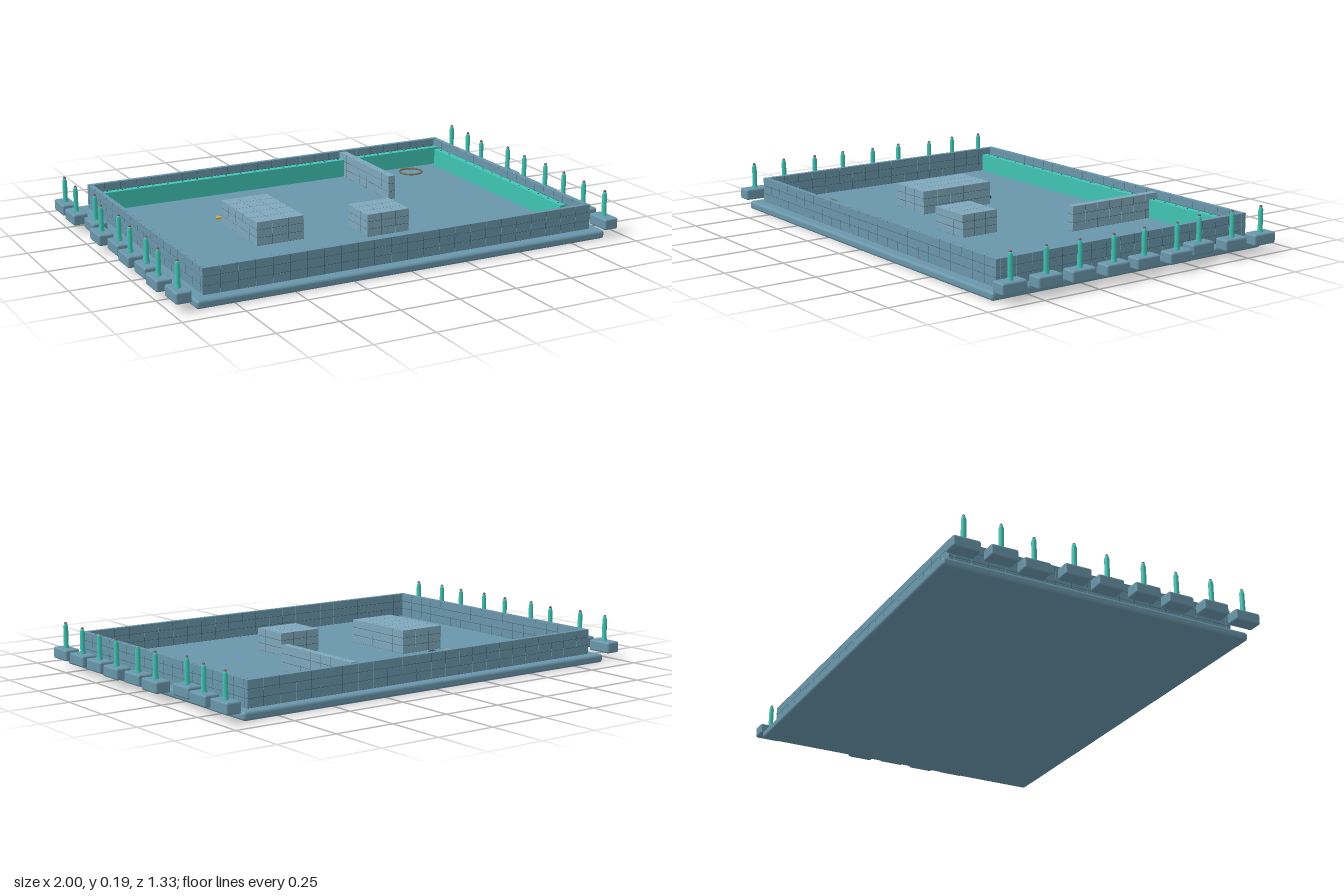
import * as THREE from 'three';
import { mergeGeometries } from 'three/addons/utils/BufferGeometryUtils.js';
import { RoundedBoxGeometry } from 'three/addons/geometries/RoundedBoxGeometry.js';

const material = (color, flatShading = false) => new THREE.MeshStandardMaterial({ color, flatShading });
const stone = material(0x6996aa);
const tile = material(0x7fa8bc);
const seam = material(0x415f70);
const teal = material(0x3fc4b4);
const red = material(0x9c4350);
const bronze = material(0x77704f);
const yellow = material(0xd8b040, true);
const purple = material(0x45435c);

const FLOOR = 0.035, WALL_TOP = 0.14;

export function createModel() {
  const root = new THREE.Group();

  function add(parent, name, geometry, mat, x = 0, y = 0, z = 0) {
    const mesh = new THREE.Mesh(geometry, mat);
    mesh.name = name;
    mesh.position.set(x, y, z);
    parent.add(mesh);
    return mesh;
  }

  // A dark core covered with a grid of separate tiles, given by its bounds
  function tiledBlock(name, x0, x1, z0, z1, top, mat, nx, ny, nz) {
    const group = new THREE.Group();
    group.name = name;
    const w = x1 - x0, h = top - FLOOR, d = z1 - z0, gap = 0.002;
    add(group, name + 'Core', new THREE.BoxGeometry(w - 0.004, h - 0.002, d - 0.004), seam,
      (x0 + x1) / 2, FLOOR + h / 2 - 0.001, (z0 + z1) / 2);
    const parts = [];
    for (let i = 0; i < nx; i++) for (let j = 0; j < ny; j++) for (let k = 0; k < nz; k++) {
      const g = new THREE.BoxGeometry(w / nx - gap, h / ny - gap, d / nz - gap);
      g.translate(x0 + w * (i + 0.5) / nx, FLOOR + h * (j + 0.5) / ny, z0 + d * (k + 0.5) / nz);
      parts.push(g);
    }
    add(group, name + 'Tiles', mergeGeometries(parts), mat);
    root.add(group);
  }

  // Ground slab with softened edges
  add(root, 'slab', new RoundedBoxGeometry(1.812, FLOOR, 1.324, 3, 0.012), stone, 0, FLOOR / 2, 0);

  // Enclosing walls
  tiledBlock('backWall', -0.862, 0.862, -0.618, -0.596, WALL_TOP, stone, 24, 3, 1);
  tiledBlock('frontWall', -0.862, 0.862, 0.593, 0.615, WALL_TOP, stone, 24, 3, 1);
  for (const [name, s] of [['leftWall', 1], ['rightWall', -1]]) {
    const a = s * 0.862, b = s * 0.84;
    tiledBlock(name, Math.min(a, b), Math.max(a, b), -0.595, 0.592, WALL_TOP, stone, 1, 3, 17);
  }

  // Free-standing tiled blocks and the divider wall
  tiledBlock('largeBlock', -0.445, -0.235, -0.155, 0.192, 0.135, tile, 3, 3, 5);
  tiledBlock('smallBlock', 0.0, 0.195, 0.12, 0.292, 0.13, tile, 3, 3, 3);
  tiledBlock('dividerWall', 0.335, 0.37, -0.585, -0.13, WALL_TOP, tile, 1, 3, 7);

  // Teal barriers with a row of studs along the top
  function barrier(name, cx, cz, length, turned) {
    const group = new THREE.Group();
    group.name = name;
    const top = 0.113, h = top - FLOOR;
    add(group, name + 'Panel', new THREE.BoxGeometry(length, h, 0.03), teal, 0, FLOOR + h / 2, 0);
    const count = Math.round(length / 0.07), studs = [];
    for (let i = 0; i < count; i++) {
      const g = new THREE.CylinderGeometry(0.003, 0.003, 0.003, 8);
      studs.push(g.translate(length * ((i + 0.5) / count - 0.5), top + 0.001, 0));
    }
    add(group, name + 'Studs', mergeGeometries(studs), seam);
    group.position.set(cx, 0, cz);
    if (turned) group.rotation.y = Math.PI / 2;
    root.add(group);
  }
  barrier('backBarrier', 0, -0.555, 1.66, false);
  barrier('leftBarrier', 0.81, -0.005, 1.01, true);

  // Two rows of posts on plinths, set slightly unevenly
  const rowZ = [-0.61, -0.46, -0.308, -0.155, -0.003, 0.15, 0.302, 0.453, 0.608];
  const rows = {
    left: [0.95, 0.945, 0.922, 0.966, 0.953, 0.96, 0.95, 0.945, 0.938],
    right: [-0.963, -0.968, -0.938, -0.968, -0.95, -0.963, -0.955, -0.968, -0.955],
  };
  const plinthGeo = new RoundedBoxGeometry(0.064, 0.047, 0.112, 2, 0.008);
  const postGeo = new THREE.LatheGeometry([
    [0.012, 0], [0.012, 0.008], [0.01, 0.012], [0.01, 0.09], [0.007, 0.098], [0.007, 0.103], [0, 0.103],
  ].map(([r, y]) => new THREE.Vector2(r, y)), 12);
  const tipGeo = new THREE.SphereGeometry(0.006, 10, 6);
  for (const side in rows) {
    rows[side].forEach((x, i) => {
      const post = new THREE.Group();
      post.name = side + 'Post' + (i + 1);
      add(post, 'plinth', plinthGeo, stone, 0, 0.0565, 0);
      add(post, 'post', postGeo, teal, 0, 0.079, 0);
      add(post, 'tip', tipGeo, red, 0, 0.183, 0);
      post.position.set(x, 0, rowZ[i]);
      root.add(post);
    });
  }

  // Rings lying on the floor, with small knots around them
  for (const [x, z] of [[0.64, -0.46], [-0.68, 0.415]]) {
    const parts = [new THREE.TorusGeometry(0.051, 0.004, 6, 40).rotateX(Math.PI / 2)];
    for (let i = 0; i < 12; i++) {
      const a = i * Math.PI / 6;
      parts.push(new THREE.SphereGeometry(0.0055, 6, 4).translate(0.051 * Math.cos(a), 0, 0.051 * Math.sin(a)));
    }
    add(root, 'floorRing', mergeGeometries(parts), bronze, x, FLOOR + 0.004, z);
  }

  // Small floor markers: a triangular wedge and a ribbed dome
  const wedge = new THREE.CylinderGeometry(0.02, 0.02, 0.008, 3).rotateY(Math.PI);
  add(root, 'triangleMarker', wedge, yellow, -0.43, FLOOR + 0.004, -0.217);
  const dome = new THREE.SphereGeometry(1, 16, 8, 0, Math.PI * 2, 0, Math.PI / 2).scale(0.024, 0.014, 0.018);
  add(root, 'dome', dome, purple, -0.345, FLOOR, -0.217);
  for (const dx of [-0.01, 0, 0.01]) {
    const k = Math.sqrt(1 - (dx / 0.024) ** 2);
    const rib = new THREE.TorusGeometry(1, 0.06, 5, 16, Math.PI).scale(0.018 * k, 0.014 * k, 0.02).rotateY(Math.PI / 2);
    add(root, 'domeRib', rib, seam, -0.345 + dx, FLOOR, -0.217);
  }

  return root;
}
